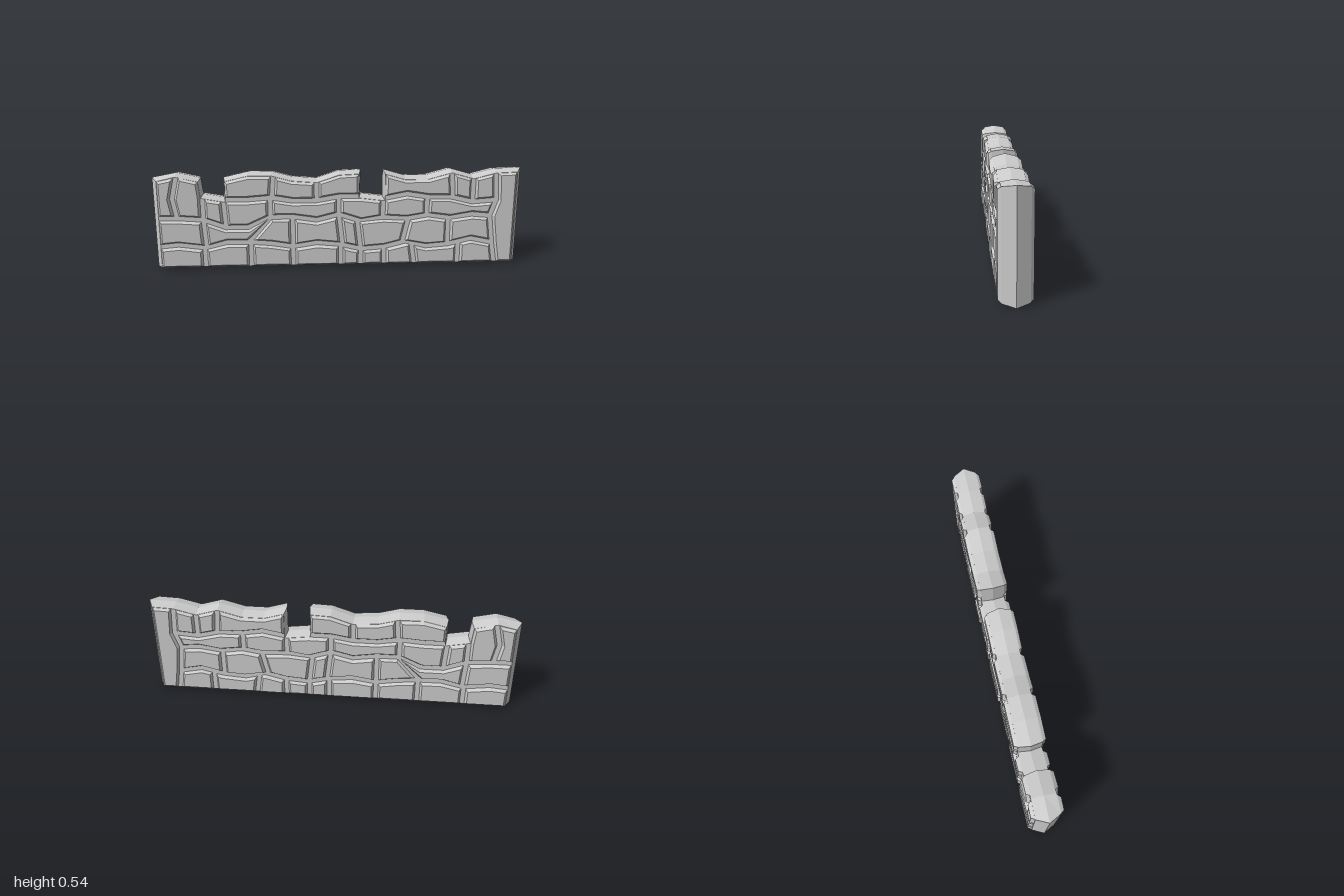
import * as THREE from 'three';

const material = new THREE.MeshStandardMaterial({ color: 0xcccccc, flatShading: true });

// Moves every side of a counter-clockwise outline inwards by d
function inset(outline, d) {
  const n = outline.length;
  const normal = (a, b) => {
    const l = Math.hypot(b[0] - a[0], b[1] - a[1]);
    return [(a[1] - b[1]) / l, (b[0] - a[0]) / l];
  };
  return outline.map((p, i) => {
    const u = normal(outline[(i + n - 1) % n], p);
    const v = normal(p, outline[(i + 1) % n]);
    const k = d / Math.max(0.4, 1 + u[0] * v[0] + u[1] * v[1]);
    return [p[0] + (u[0] + v[0]) * k, p[1] + (u[1] + v[1]) * k];
  });
}

// Lofts rings {points, z} outwards, caps the last one and repeats it mirrored in z
function loft(name, rings) {
  const pos = [];
  const tri = (a, b, c) => {
    pos.push(...a, ...b, ...c);
    for (const p of [a, c, b]) pos.push(p[0], p[1], -p[2]);
  };
  const r3 = rings.map(({ points, z }) => points.map(([x, y]) => [x, y, z]));
  for (let r = 0; r + 1 < r3.length; r++) {
    const lo = r3[r], hi = r3[r + 1], n = lo.length;
    for (let i = 0; i < n; i++) {
      const j = (i + 1) % n;
      tri(lo[i], lo[j], hi[j]);
      tri(lo[i], hi[j], hi[i]);
    }
  }
  const cap = r3[r3.length - 1];
  const flat = cap.map(([x, y]) => new THREE.Vector2(x, y));
  for (const [a, b, c] of THREE.ShapeUtils.triangulateShape(flat, [])) tri(cap[a], cap[b], cap[c]);
  const geometry = new THREE.BufferGeometry();
  geometry.setAttribute('position', new THREE.Float32BufferAttribute(pos, 3));
  geometry.computeVertexNormals();
  const mesh = new THREE.Mesh(geometry, material);
  mesh.name = name;
  return mesh;
}

// Part of a course line between two x positions, ends interpolated
function slice(line, x0, x1) {
  const at = (x) => {
    let i = 0;
    while (i < line.length - 2 && line[i + 1][0] < x) i++;
    const [a, b] = [line[i], line[i + 1]];
    return [x, a[1] + (b[1] - a[1]) * (x - a[0]) / (b[0] - a[0])];
  };
  return [at(x0), ...line.filter((p) => p[0] > x0 + 0.02 && p[0] < x1 - 0.02), at(x1)];
}

// Course lines from the ground up
const ground = [[-1, 0], [1, 0]];
const lineA = [[-1, 0.13], [-0.87, 0.14], [-0.72, 0.12], [-0.61, 0.15], [-0.49, 0.15], [-0.37, 0.14], [-0.25, 0.12],
  [-0.12, 0.14], [0, 0.13], [0.12, 0.1], [0.25, 0.11], [0.37, 0.14], [0.48, 0.11], [0.61, 0.12], [0.73, 0.15], [0.87, 0.12]];
const lineB = [[-1, 0.29], [-0.87, 0.29], [-0.73, 0.28], [-0.61, 0.235], [-0.49, 0.235], [-0.37, 0.29], [-0.25, 0.29],
  [-0.12, 0.27], [0, 0.3], [0.12, 0.26], [0.24, 0.28], [0.37, 0.27], [0.49, 0.29], [0.61, 0.27], [0.73, 0.29], [0.83, 0.28]];
const lineC = [[-0.73, 0.41], [-0.62, 0.39], [-0.49, 0.39], [-0.36, 0.4], [-0.25, 0.38], [-0.12, 0.38], [0, 0.4],
  [0.12, 0.4], [0.24, 0.385], [0.37, 0.41], [0.49, 0.39], [0.61, 0.39], [0.73, 0.36], [0.86, 0.37]];
const crestLeft = [[-1, 0.505], [-0.87, 0.53], [-0.74, 0.5]];
const crestMid = [[-0.62, 0.5], [-0.49, 0.53], [-0.36, 0.53], [-0.25, 0.5], [-0.12, 0.49], [0, 0.53], [0.12, 0.535]];
const crestRight = [[0.24, 0.535], [0.36, 0.5], [0.48, 0.5], [0.61, 0.535], [0.73, 0.5], [0.85, 0.53], [1, 0.535]];

// Outlines of one course; each seam is x, or [x at bottom, x at top]
function course(lower, upper, seams) {
  const s = seams.map((v) => (Array.isArray(v) ? v : [v, v]));
  return s.slice(1).map((r, i) => [
    ...slice(lower, s[i][0], r[0]),
    ...slice(upper, s[i][1], r[1]).reverse(),
  ]);
}

export function createModel() {
  const wall = new THREE.Group();
  wall.name = 'stoneWall';

  // Mortar core: ridged along the middle, with two gaps in the crest
  const outline = [...ground, ...[
    ...crestLeft, [-0.73, 0.41], [-0.62, 0.39], ...crestMid, [0.12, 0.4], [0.24, 0.385], ...crestRight,
  ].reverse()];
  const clampX = (p, m) => p.map(([x, y]) => [Math.max(-m, Math.min(m, x)), y]);
  wall.add(loft('mortarCore', [
    { points: outline, z: 0 },
    { points: clampX(inset(outline, 0.011), 0.968), z: 0.064 },
  ]));

  const courses = {
    bottomStone: course(ground, lineA, [-1, -0.73, -0.48, -0.25, 0.01, 0.12, 0.25, [0.42, 0.4], 0.66, [0.87, 0.85]]),
    lowerStone: course(lineA, lineB, [-1, [-0.72, -0.73], [-0.49, -0.37], -0.25, [0.02, 0], [0.12, 0.1],
      [0.35, 0.38], 0.6, [0.85, 0.83]]),
    middleStone: course(lineB, lineC, [-0.73, [-0.61, -0.62], -0.37, 0, 0.24, 0.48, [0.83, 0.86]]),
    crestStone: [
      ...course(lineC, crestMid, [-0.62, [-0.36, -0.35], -0.12, 0.12]),
      ...course(lineC, crestRight, [0.24, [0.62, 0.61], 0.73, [0.86, 0.85]]),
    ],
    // Tall stones at both ends, with a bent seam
    endStone: [
      [[-1, 0.29], [-0.87, 0.29], [-0.89, 0.4], [-0.86, 0.53], [-1, 0.505]],
      [[-0.87, 0.29], [-0.73, 0.28], [-0.73, 0.41], [-0.74, 0.5], [-0.86, 0.53], [-0.89, 0.4]],
      [[0.87, 0], [1, 0], [1, 0.535], [0.85, 0.53], [0.86, 0.37], [0.83, 0.28], [0.85, 0.12]],
    ],
  };

  // Chamfered stones standing proud of the core on both faces
  for (const [name, stones] of Object.entries(courses)) {
    stones.forEach((points, i) => {
      const base = clampX(points, 0.978);
      wall.add(loft(name + (i + 1), [
        { points: inset(base, 0.01), z: 0.06 },
        { points: inset(base, 0.024), z: 0.083 - (i % 3) * 0.002 },
      ]));
    });
  }
  return wall;
}
